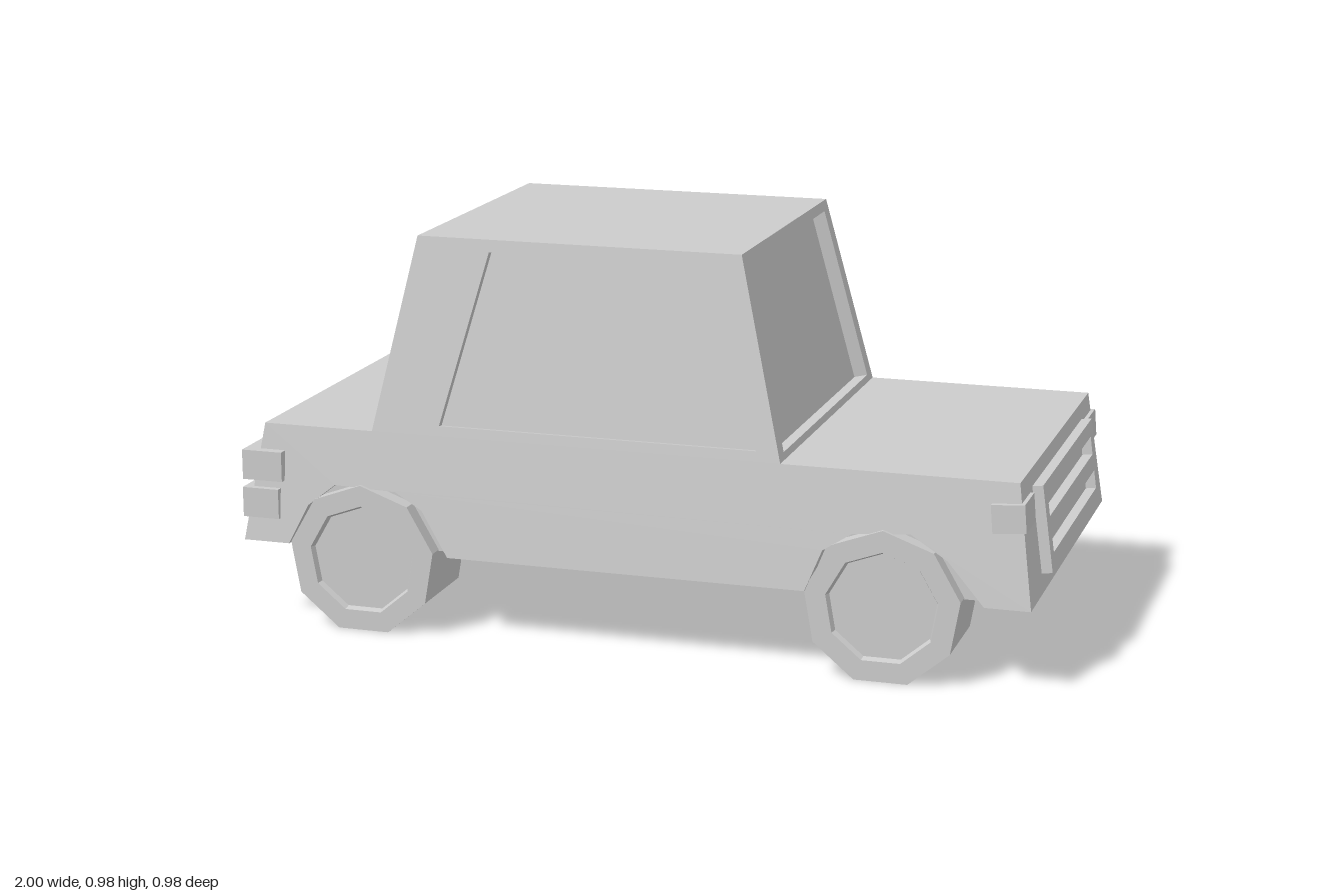
import * as THREE from 'three';

const material = new THREE.MeshStandardMaterial({ color: 0xcccccc, flatShading: true });

// Body and cabin heights
const FLOOR = 0.21, DECK = 0.505, ROOF = 0.985;
const bodyHalfWidth = (y) => 0.49 - (y - FLOOR) * 0.119;
const lerpY = (y, atDeck, atRoof) => atDeck + (atRoof - atDeck) * (y - DECK) / (ROOF - DECK);

function add(parent, name, geometry, x = 0, y = 0, z = 0) {
  const mesh = new THREE.Mesh(geometry, material);
  mesh.name = name;
  mesh.position.set(x, y, z);
  parent.add(mesh);
  return mesh;
}

// Flat-sided geometry from four-cornered faces, corners anticlockwise from outside
function quads(faces) {
  const pos = [];
  for (const [a, b, c, d] of faces) for (const p of [a, b, c, a, c, d]) pos.push(p.x, p.y, p.z);
  const g = new THREE.BufferGeometry();
  g.setAttribute('position', new THREE.Float32BufferAttribute(pos, 3));
  g.computeVertexNormals();
  return g;
}

// Framed panel with a sunken window pane
function windowPanel(outer, inner, depth) {
  const inward = new THREE.Vector3().subVectors(inner[1], inner[0])
    .cross(new THREE.Vector3().subVectors(inner[3], inner[0])).normalize().multiplyScalar(-depth);
  const pane = inner.map((p) => p.clone().add(inward));
  const faces = [pane];
  for (let i = 0; i < 4; i++) {
    const j = (i + 1) % 4;
    faces.push([outer[i], outer[j], inner[j], inner[i]], [inner[i], inner[j], pane[j], pane[i]]);
  }
  return quads(faces);
}

function polygon(points) {
  return new THREE.Shape(points.map(([x, y]) => new THREE.Vector2(x, y)));
}

function buildBody(car) {
  const body = new THREE.Group();
  body.name = 'body';
  car.add(body);
  const ends = [[0.98, FLOOR], [0.94, DECK], [-0.95, DECK], [-1, FLOOR]];
  const arches = [
    [-0.88, FLOOR], [-0.83, 0.31], [-0.76, 0.365], [-0.6, 0.36], [-0.53, 0.32], [-0.46, FLOOR],
    [0.44, FLOOR], [0.48, 0.31], [0.55, 0.355], [0.69, 0.365], [0.78, 0.31], [0.87, FLOOR],
  ];
  const inner = 0.44;
  const core = new THREE.ExtrudeGeometry(polygon(ends), { depth: inner * 2, bevelEnabled: false });
  add(body, 'bodyCore', core, 0, 0, -inner);

  // Tapered side skins with wheel arches cut out
  for (const side of [1, -1]) {
    const skin = new THREE.ExtrudeGeometry(polygon([...ends, ...arches]), { depth: 1, bevelEnabled: false });
    const p = skin.attributes.position;
    for (let i = 0; i < p.count; i++) {
      const w = bodyHalfWidth(p.getY(i)), t = p.getZ(i);
      p.setZ(i, side > 0 ? inner + t * (w - inner) : -w + t * (w - inner));
    }
    skin.computeVertexNormals();
    add(body, side > 0 ? 'leftBodySide' : 'rightBodySide', skin);
  }
}

function buildCabin(car) {
  const cabin = new THREE.Group();
  cabin.name = 'cabin';
  car.add(cabin);
  const sidePoint = (s) => ([x, y]) => new THREE.Vector3(x, y, s * lerpY(y, 0.455, 0.39));
  const endPoint = (s) => ([z, y]) =>
    new THREE.Vector3(s > 0 ? lerpY(y, 0.37, 0.255) : lerpY(y, -0.665, -0.56), y, z);
  const sideOuter = [[-0.665, DECK], [0.37, DECK], [0.255, ROOF], [-0.56, ROOF]];
  const sideInner = [[-0.49, 0.53], [0.31, 0.53], [0.215, 0.955], [-0.375, 0.955]];
  const endOuter = [[0.455, DECK], [-0.455, DECK], [-0.39, ROOF], [0.39, ROOF]];
  const endInner = [[0.41, 0.522], [-0.41, 0.522], [-0.352, 0.96], [0.352, 0.96]];

  for (const s of [1, -1]) {
    const place = (list, f) => (s > 0 ? list.map(f) : list.map(f).reverse());
    add(cabin, s > 0 ? 'leftWindow' : 'rightWindow',
      windowPanel(place(sideOuter, sidePoint(s)), place(sideInner, sidePoint(s)), 0.018));
    add(cabin, s > 0 ? 'windshield' : 'rearWindow',
      windowPanel(place(endOuter, endPoint(s)), place(endInner, endPoint(s)), 0.035));
  }
  const roof = [[-0.56, 0.39], [0.255, 0.39], [0.255, -0.39], [-0.56, -0.39]];
  add(cabin, 'roof', quads([roof.map(([x, z]) => new THREE.Vector3(x, ROOF, z))]));
}

function buildWheels(car) {
  const h = 0.112, dish = 0.015;
  const profile = [
    [0, dish - h], [0.132, dish - h], [0.138, -h], [0.191, -h],
    [0.191, h], [0.138, h], [0.132, h - dish], [0, h - dish],
  ].map(([r, y]) => new THREE.Vector2(r, y));
  const geometry = new THREE.LatheGeometry(profile, 9).rotateX(-Math.PI / 2);
  for (const [end, x] of [['front', 0.625], ['rear', -0.69]]) {
    add(car, end + 'LeftWheel', geometry, x, 0.18, 0.369);
    add(car, end + 'RightWheel', geometry, x, 0.18, -0.363);
  }
}

function buildLights(car) {
  for (const s of [1, -1]) {
    const side = s > 0 ? 'left' : 'right';
    // Headlight wraps the front corner and follows its slope
    const headlight = add(car, side + 'Headlight', new THREE.BoxGeometry(0.08, 0.068, 0.112), 0.919, 0.422, s * 0.418);
    headlight.rotation.z = 0.08;
    add(car, side + 'UpperTailLight', new THREE.BoxGeometry(0.105, 0.075, 0.128), -0.9475, 0.403, s * 0.424);
    add(car, side + 'LowerTailLight', new THREE.BoxGeometry(0.095, 0.075, 0.13), -0.9525, 0.308, s * 0.426);
  }
}

function buildGrille(car) {
  const rect = (w, y0, y1) => [[-w, y0], [w, y0], [w, y1], [-w, y1]];
  const plate = polygon(rect(0.332, 0, 0.212));
  for (const y of [0.04, 0.128]) plate.holes.push(polygon(rect(0.294, y, y + 0.046)));
  const geometry = new THREE.ExtrudeGeometry(plate, { depth: 0.03, bevelEnabled: false });
  geometry.rotateY(Math.PI / 2);
  const grille = add(car, 'grille', geometry, 0.97, 0.255, 0);
  grille.rotation.z = 0.135;
}

export function createModel() {
  const car = new THREE.Group();
  car.name = 'car';
  buildBody(car);
  buildCabin(car);
  buildWheels(car);
  buildLights(car);
  buildGrille(car);
  return car;
}
